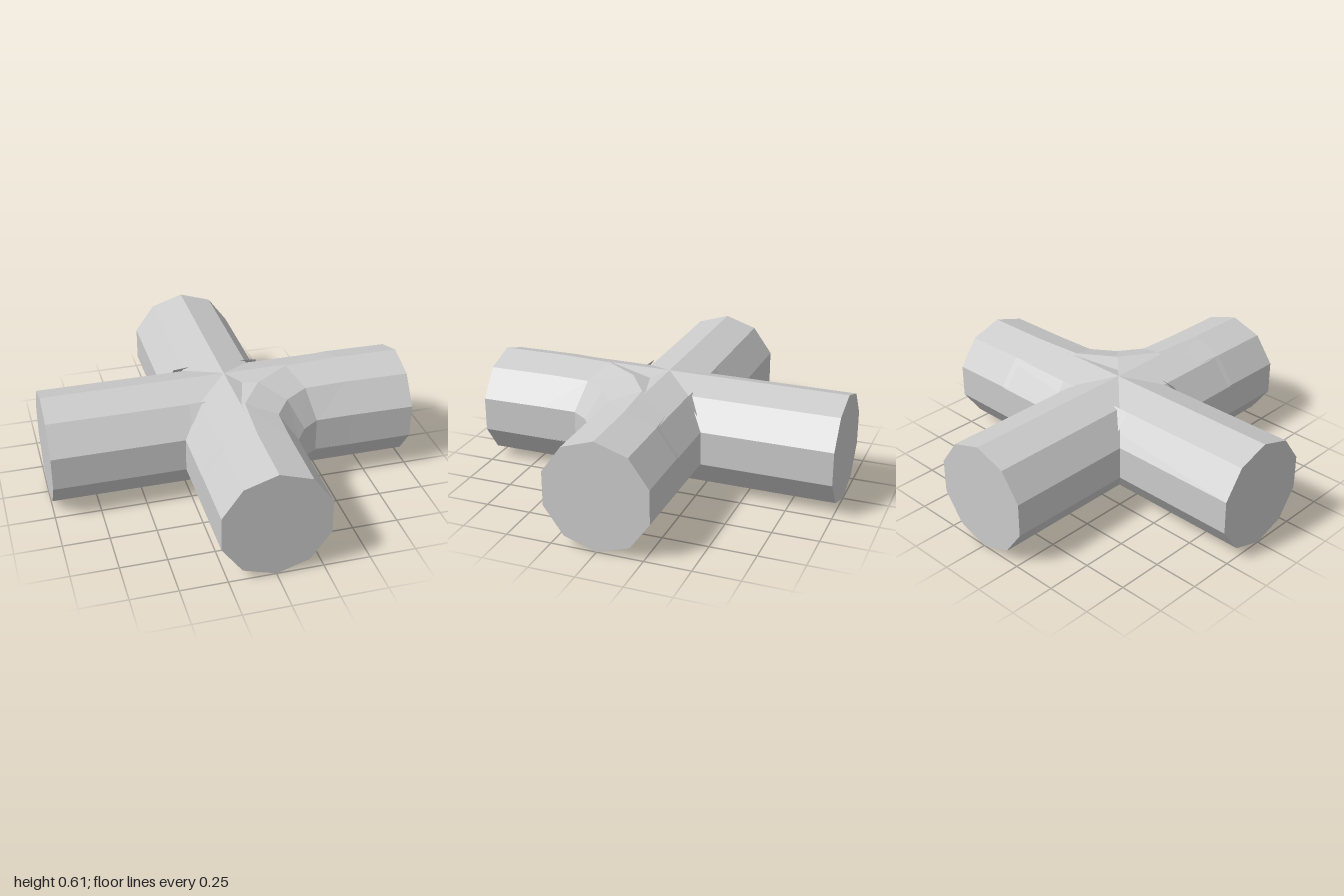
import * as THREE from 'three';

const R = 0.3;      // pipe radius
const SIDES = 10;

const material = new THREE.MeshStandardMaterial({
  color: 0xcccccc, flatShading: true, side: THREE.DoubleSide,
});

function addMesh(group, geometry, name) {
  const mesh = new THREE.Mesh(geometry, material);
  mesh.name = name;
  group.add(mesh);
}

function fromTriangles(positions) {
  const g = new THREE.BufferGeometry();
  g.setAttribute('position', new THREE.Float32BufferAttribute(positions, 3));
  g.computeVertexNormals();
  return g;
}

// Ten-sided pipe lying along z, with an edge at its very top
function straightPipe() {
  return new THREE.CylinderGeometry(R, R, 2, SIDES).rotateX(Math.PI / 2).translate(0, R, 0);
}

// Bent pipe: each station is x, z, lift, turn in degrees
function bentPipe() {
  const stations = [
    [0, 1, 0, 0], [0, 0.64, 0.004, 0], [0.02, 0.345, 0.005, 20], [0.15, 0.15, 0.005, 45],
    [0.345, 0.02, 0.005, 70], [0.64, 0, 0.004, 90], [1, 0, 0, 90],
  ];
  const point = ([x, z, lift, turn], k) => {
    const a = THREE.MathUtils.degToRad(turn);
    const t = (k / SIDES) * Math.PI * 2;
    const out = R * Math.sin(t);
    return [x + out * Math.cos(a), R + lift + R * Math.cos(t), z + out * Math.sin(a)];
  };
  const positions = [];
  for (let i = 0; i < stations.length - 1; i++) {
    for (let k = 0; k < SIDES; k++) {
      const a = point(stations[i], k), b = point(stations[i], k + 1);
      const c = point(stations[i + 1], k + 1), d = point(stations[i + 1], k);
      positions.push(...a, ...b, ...d, ...b, ...c, ...d);
    }
  }
  return fromTriangles(positions);
}

// Small sliver in the crease between two pipes
function creaseFlap(sx, sz) {
  const corners = [[0.24, 0.55, 0.185], [0.15, 0.555, 0.19], [0.24, 0.458, 0.25]];
  if (sx * sz > 0) corners.reverse();
  return fromTriangles(corners.flatMap(([x, y, z]) => [x * sx, y, z * sz]));
}

export function createModel() {
  const group = new THREE.Group();
  group.name = 'pipeJunction';

  // Crossing pipes
  addMesh(group, straightPipe(), 'frontToBackPipe');
  addMesh(group, straightPipe().rotateY(Math.PI / 2), 'sideToSidePipe');

  // Curve joining the front and left arms
  addMesh(group, bentPipe(), 'bentPipe');

  // Slivers in the three sharp corners
  for (const [sx, sz] of [[-1, 1], [-1, -1], [1, -1]]) {
    addMesh(group, creaseFlap(sx, sz), 'creaseFlap');
  }
  return group;
}
